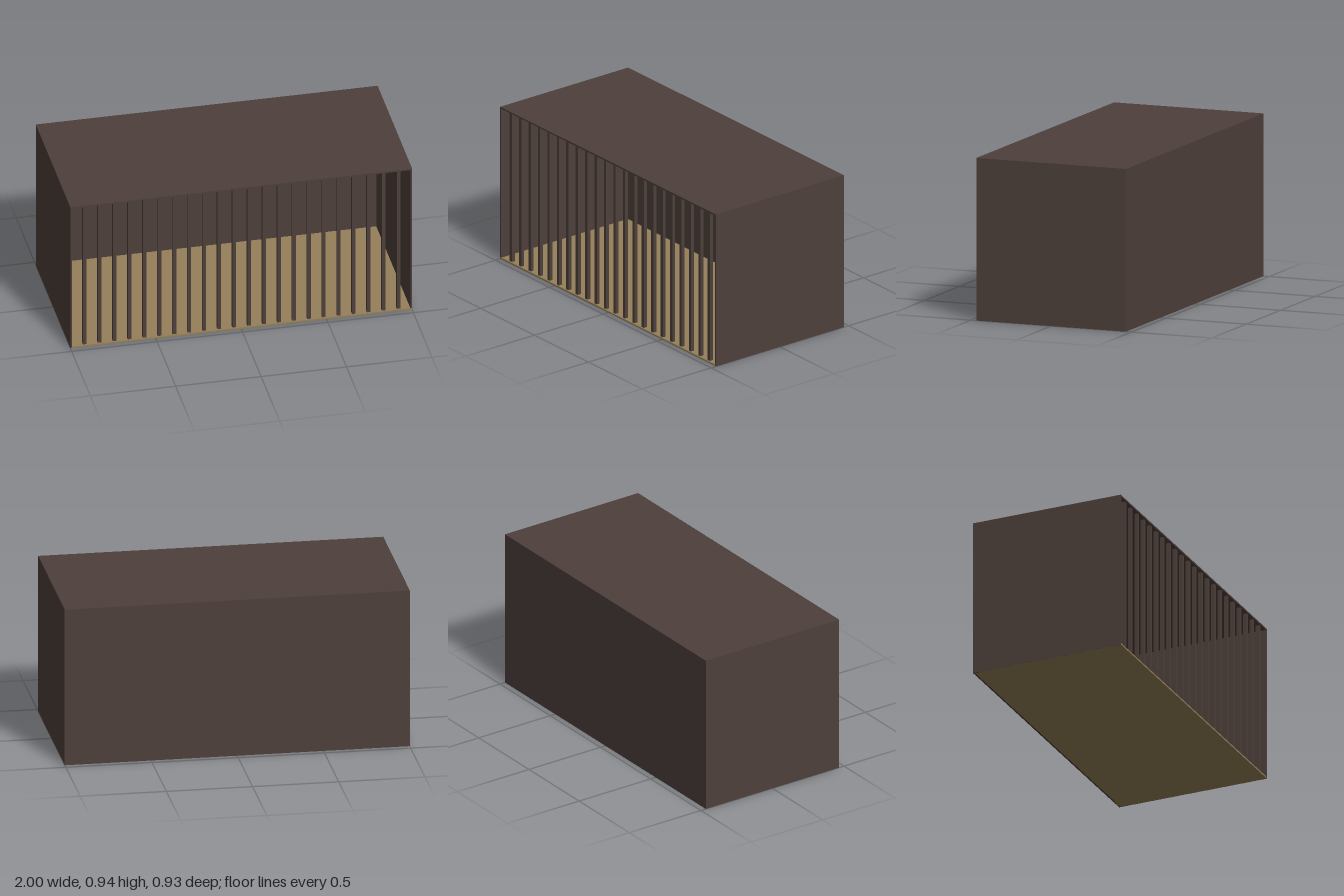
import * as THREE from 'three';

export function createModel() {
  const group = new THREE.Group();
  const darkWood = new THREE.MeshStandardMaterial({ color: 0x4e403b });
  darkWood.name = 'darkWood';
  const strawFloor = new THREE.MeshStandardMaterial({ color: 0x968059 });
  strawFloor.name = 'strawFloor';

  const W = 2, H = 0.945, D = 0.93, T = 0.01;

  function box(name, material, size, position) {
    const mesh = new THREE.Mesh(new THREE.BoxGeometry(...size), material);
    mesh.name = name;
    mesh.position.set(...position);
    group.add(mesh);
  }

  // Thin panels enclosing the crate, open at the front
  const wallH = H - 2 * T;
  box('floor', strawFloor, [W, T, D], [0, T / 2, 0]);
  box('roof', darkWood, [W, T, D], [0, H - T / 2, 0]);
  box('backWall', darkWood, [W, H, T], [0, H / 2, -D / 2 + T / 2 - 0.0005]);
  for (const side of [-1, 1]) {
    const name = side > 0 ? 'leftWall' : 'rightWall';
    box(name, darkWood, [T, H, D], [side * (W / 2 - T / 2 + 0.0005), H / 2, 0]);
  }

  // Row of square bars across the open front
  const barCount = 22, barSize = 0.021, firstX = -0.914, spacing = 0.0875;
  for (let i = 0; i < barCount; i++) {
    box('frontBar', darkWood, [barSize, wallH, barSize],
      [firstX + i * spacing, H / 2, D / 2 - 0.02]);
  }
  return group;
}
